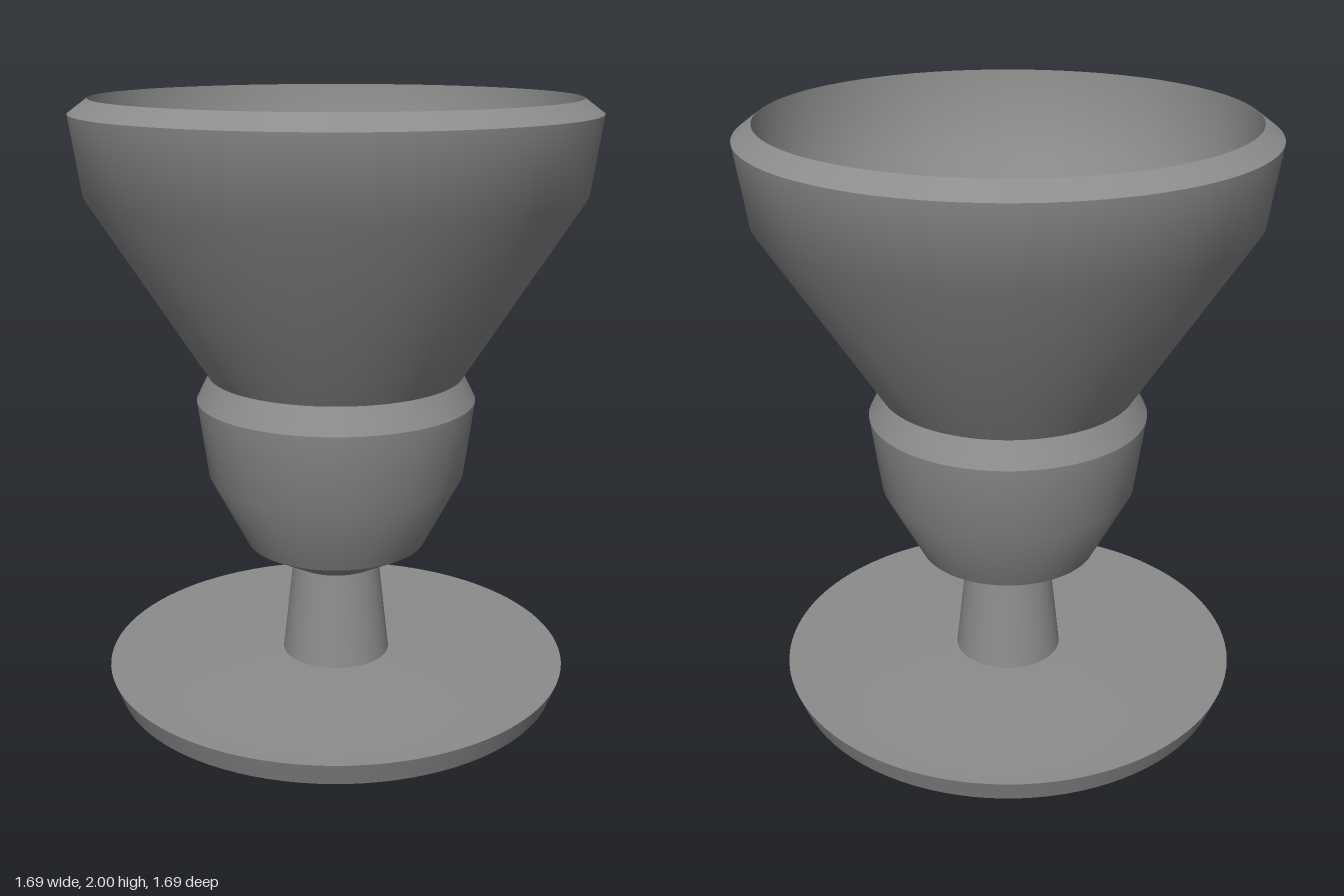
import * as THREE from 'three';

const SEGMENTS = 96;

export function createModel() {
  const group = new THREE.Group();
  const grey = new THREE.MeshStandardMaterial({ color: 0x8c8c8c });
  grey.name = 'grey';

  // Each profile runs along the surface with the outside on its right; it is smooth within itself
  // and meets its neighbours at a sharp edge.
  const turn = (name, profile) => {
    const points = profile.map(([r, y]) => new THREE.Vector2(r, y));
    const mesh = new THREE.Mesh(new THREE.LatheGeometry(points, SEGMENTS), grey);
    mesh.name = name;
    group.add(mesh);
  };

  // Foot
  turn('footUnderside', [[0, 0], [0.76, 0]]);
  turn('footEdge', [[0.76, 0], [0.79, 0.08]]);
  turn('footTop', [[0.79, 0.08], [0.52, 0.083], [0.18, 0.095]]);

  // Stem
  turn('stem', [[0.185, 0.09], [0.148, 0.42]]);

  // Lower bulb and its shoulder
  turn('bulbUnderside', [[0.148, 0.42], [0.305, 0.505]]);
  turn('bulb', [[0.305, 0.505], [0.432, 0.75], [0.467, 1.01]]);
  turn('bulbShoulder', [[0.467, 1.01], [0.425, 1.095]]);

  // Flared bowl and bevelled rim
  turn('bowl', [[0.425, 1.095], [0.807, 1.7], [0.843, 1.953]]);
  turn('rim', [[0.843, 1.953], [0.78, 2]]);

  // Hollow inside: bowl wall, narrow neck, rounded lower cavity with a flat floor
  turn('bowlInside', [[0.78, 2], [0.74, 1.72], [0.35, 1.1]]);
  turn('bulbInside', [[0.35, 1.1], [0.395, 1.0], [0.365, 0.77], [0.21, 0.56]]);
  turn('cavityFloor', [[0.21, 0.56], [0, 0.56]]);

  return group;
}
